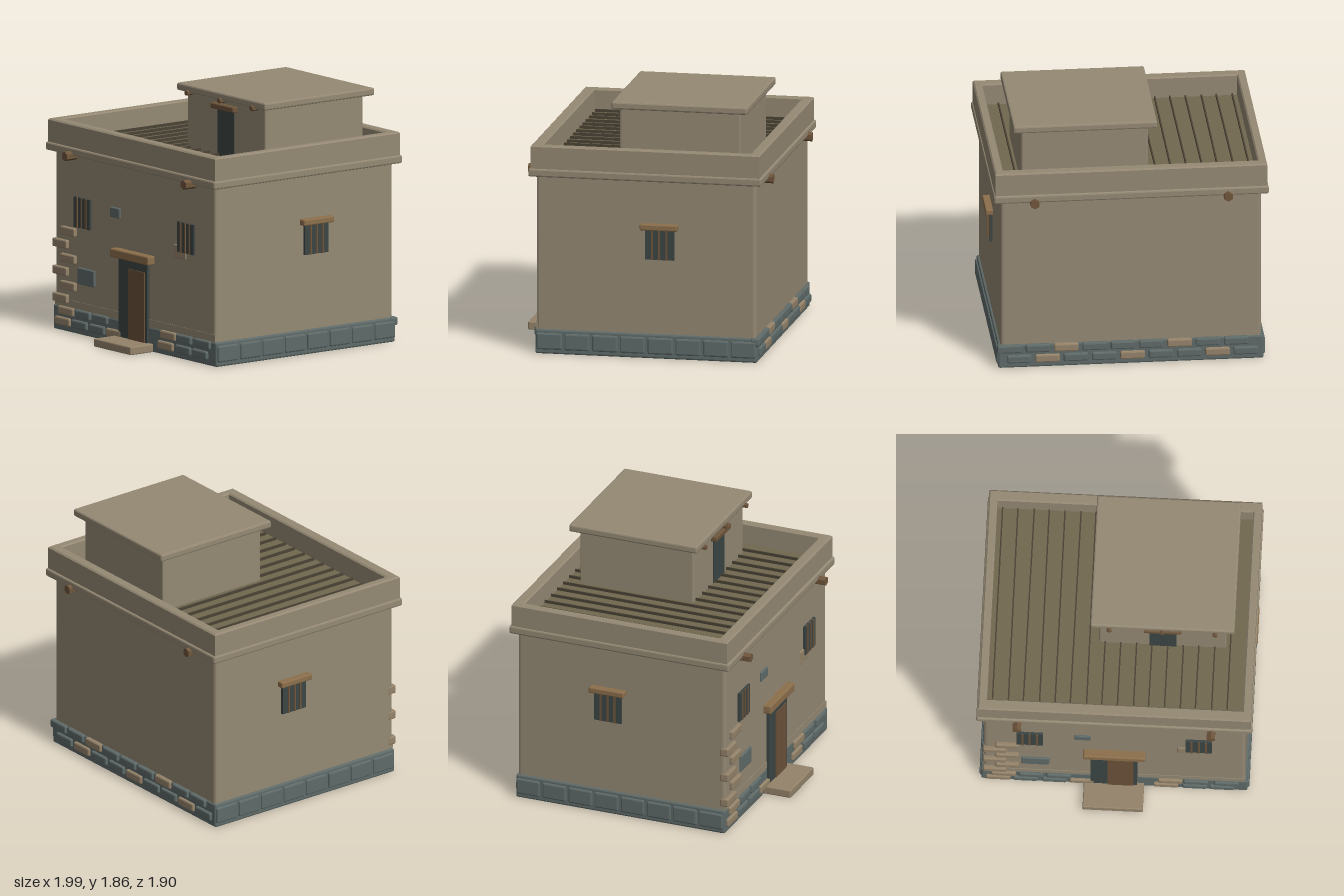
import * as THREE from 'three';
import { RoundedBoxGeometry } from 'three/addons/geometries/RoundedBoxGeometry.js';

const mat = (color) => new THREE.MeshStandardMaterial({ color, flatShading: true });
const plaster = mat(0x958974);
const lightStone = mat(0x94836a);
const greyStone = mat(0x5f6b69);
const wood = mat(0x8c6f4c);
const logWood = mat(0x6f563c);
const doorWood = mat(0x6b523a);
const dark = mat(0x3c4645);
const deckMat = mat(0x70684f);
const seamMat = mat(0x4a4234);

export function createModel() {
  const house = new THREE.Group();
  house.name = 'house';

  // Box given by its min and max on each axis, with an optional chamfer
  function block(name, material, [x0, x1], [y0, y1], [z0, z1], chamfer = 0, parent = house) {
    const w = x1 - x0, h = y1 - y0, d = z1 - z0;
    const geo = chamfer ? new RoundedBoxGeometry(w, h, d, 1, chamfer) : new THREE.BoxGeometry(w, h, d);
    const mesh = new THREE.Mesh(geo, material);
    mesh.name = name;
    mesh.position.set((x0 + x1) / 2, (y0 + y1) / 2, (z0 + z1) / 2);
    parent.add(mesh);
    return mesh;
  }

  function group(name) {
    const g = new THREE.Group();
    g.name = name;
    house.add(g);
    return g;
  }

  // Six-sided log lying along z
  function log(name, x, y, z0, z1, r, parent) {
    const geo = new THREE.CylinderGeometry(r, r, z1 - z0, 6).rotateX(Math.PI / 2);
    const mesh = new THREE.Mesh(geo, logWood);
    mesh.name = name;
    mesh.position.set(x, y, (z0 + z1) / 2);
    parent.add(mesh);
  }

  // Main body
  block('plinth', greyStone, [-0.96, 0.96], [0, 0.18], [-0.885, 0.745], 0.012);
  block('walls', plaster, [-0.943, 0.943], [0.1, 1.36], [-0.875, 0.74], 0.02);
  block('wallFooting', plaster, [-0.94, 0.94], [0.18, 0.235], [0.7, 0.744]);

  // Roof ledge, parapet ring and deck
  block('ledge', plaster, [-0.995, 0.995], [1.31, 1.37], [-0.925, 0.79], 0.012);
  const rect = (T, x, z0, z1) => {
    const s = new T();
    s.moveTo(-x, -z1).lineTo(x, -z1).lineTo(x, -z0).lineTo(-x, -z0).closePath();
    return s;
  };
  const b = 0.01;
  const ring = rect(THREE.Shape, 0.985 - b, -0.91 + b, 0.775 - b);
  ring.holes.push(rect(THREE.Path, 0.922 + b, -0.85 + b, 0.712 - b));
  const ringGeo = new THREE.ExtrudeGeometry(ring, {
    depth: 0.19 - 2 * b, bevelEnabled: true, bevelSize: b, bevelThickness: b, bevelSegments: 1,
  }).rotateX(-Math.PI / 2);
  const parapet = new THREE.Mesh(ringGeo, plaster);
  parapet.name = 'parapet';
  parapet.position.y = 1.35 + b;
  house.add(parapet);
  block('roofDeck', deckMat, [-0.925, 0.925], [1.34, 1.38], [-0.855, 0.715]);
  const seams = group('deckSeams');
  for (let i = 0; i < 16; i++) {
    const x = -0.885 + i * 0.1128;
    const seam = block('deckSeam', seamMat, [x - 0.005, x + 0.005], [1.37, 1.4], [-0.83, 0.68], 0, seams);
    seam.rotation.y = 0.004 * Math.sin(i * 2.3);
  }

  // Projecting roof logs, front and back
  const logs = group('roofLogs');
  for (const x of [-0.7, 0.7]) {
    log('frontLog', x, 1.31, 0.7, 0.845, 0.035, logs);
    log('backLog', x, 1.31, -0.955, -0.84, 0.035, logs);
  }

  // Upper room
  block('upperRoom', plaster, [-0.14, 0.78], [1.36, 1.82], [-0.73, 0.16], 0.012);
  block('upperRoof', plaster, [-0.2, 0.84], [1.8, 1.855], [-0.79, 0.21], 0.012);
  block('upperDoor', dark, [0.225, 0.42], [1.38, 1.73], [0.14, 0.168]);
  block('upperLintel', logWood, [0.185, 0.455], [1.725, 1.767], [0.14, 0.205], 0.008);
  for (const x of [-0.065, 0.32, 0.7]) log('upperLog', x, 1.8, 0.13, 0.23, 0.02, logs);

  // Front door
  block('doorway', dark, [-0.17, 0.165], [0.06, 0.645], [0.7, 0.762]);
  block('door', doorWood, [-0.05, 0.14], [0.06, 0.575], [0.72, 0.77]);
  block('doorLintel', wood, [-0.225, 0.225], [0.64, 0.705], [0.7, 0.8], 0.01);
  block('doorStep', lightStone, [-0.22, 0.215], [0, 0.06], [0.7, 0.95], 0.008);

  // Front windows with bars
  for (const s of [-1, 1]) {
    const win = group('frontWindow');
    const cx = s * 0.61;
    block('windowPane', dark, [cx - 0.095, cx + 0.095], [0.785, 1.007], [0.7, 0.758], 0, win);
    for (let i = -1; i <= 1; i++) {
      const x = cx + i * 0.052;
      block('windowBar', logWood, [x - 0.007, x + 0.007], [0.785, 1.007], [0.73, 0.764], 0, win);
    }
  }

  // Side windows with bars and lintels
  for (const s of [-1, 1]) {
    const win = group('sideWindow');
    const span = (a, c) => (s > 0 ? [a, c] : [-c, -a]);
    block('windowPane', dark, span(0.9, 0.962), [0.73, 0.955], [-0.275, -0.062], 0, win);
    for (const z of [-0.115, -0.168, -0.222]) {
      block('windowBar', logWood, span(0.93, 0.968), [0.73, 0.955], [z - 0.007, z + 0.007], 0, win);
    }
    block('windowLintel', wood, span(0.9, 0.995), [0.95, 0.995], [-0.305, -0.03], 0.008, win);
  }

  // Corner stones on the front, staggered up the right-hand edge
  const corner = group('cornerStones');
  for (let i = 0; i < 6; i++) {
    const x = i % 2 ? -0.857 : -0.947, y = 0.208 + i * 0.1;
    block('cornerStone', lightStone, [x, x + 0.168], [y, y + 0.063], [0.7, 0.768], 0.01, corner);
  }

  // Exposed patches in the plaster
  block('greyPatch', greyStone, [-0.67, -0.47], [0.37, 0.492], [0.7, 0.755], 0.008);
  block('greyPatch', greyStone, [-0.287, -0.17], [0.92, 0.995], [0.7, 0.755], 0.008);
  block('lightPatch', lightStone, [0.455, 0.603], [0.732, 0.833], [0.7, 0.75], 0.008);

  // Plinth stones: two courses front and back
  const stones = group('plinthStones');
  const course = (xs, y, front, tanAt) => xs.forEach((x, i) =>
    block('plinthStone', tanAt(i) ? lightStone : greyStone, [x, x + 0.178], [y, y + 0.062],
      front ? [0.7, 0.765] : [-0.905, -0.84], 0.012, stones));
  course([-0.927, -0.73, -0.522, -0.322, 0.283, 0.49, 0.687], 0.04, true, (i) => i % 4 === 0 || i === 3);
  course([-0.888, -0.69, -0.488, 0.315, 0.5, 0.72], 0.12, true, (i) => i % 3 === 0);
  const row = (n, x0) => Array.from({ length: n }, (_, i) => x0 + i * 0.205);
  course(row(9, -0.92), 0.04, false, (i) => i % 3 === 1);
  course(row(9, -0.85).slice(0, 9), 0.12, false, (i) => i % 4 === 2);

  // Plinth stones: one tall course on each side
  for (const s of [-1, 1]) {
    for (let i = 0; i < 8; i++) {
      const z = 0.733 - i * 0.204;
      block('sideStone', greyStone, s > 0 ? [0.9, 0.973] : [-0.973, -0.9], [0.033, 0.155],
        [z - 0.185, z], 0.012, stones);
    }
  }
  return house;
}
